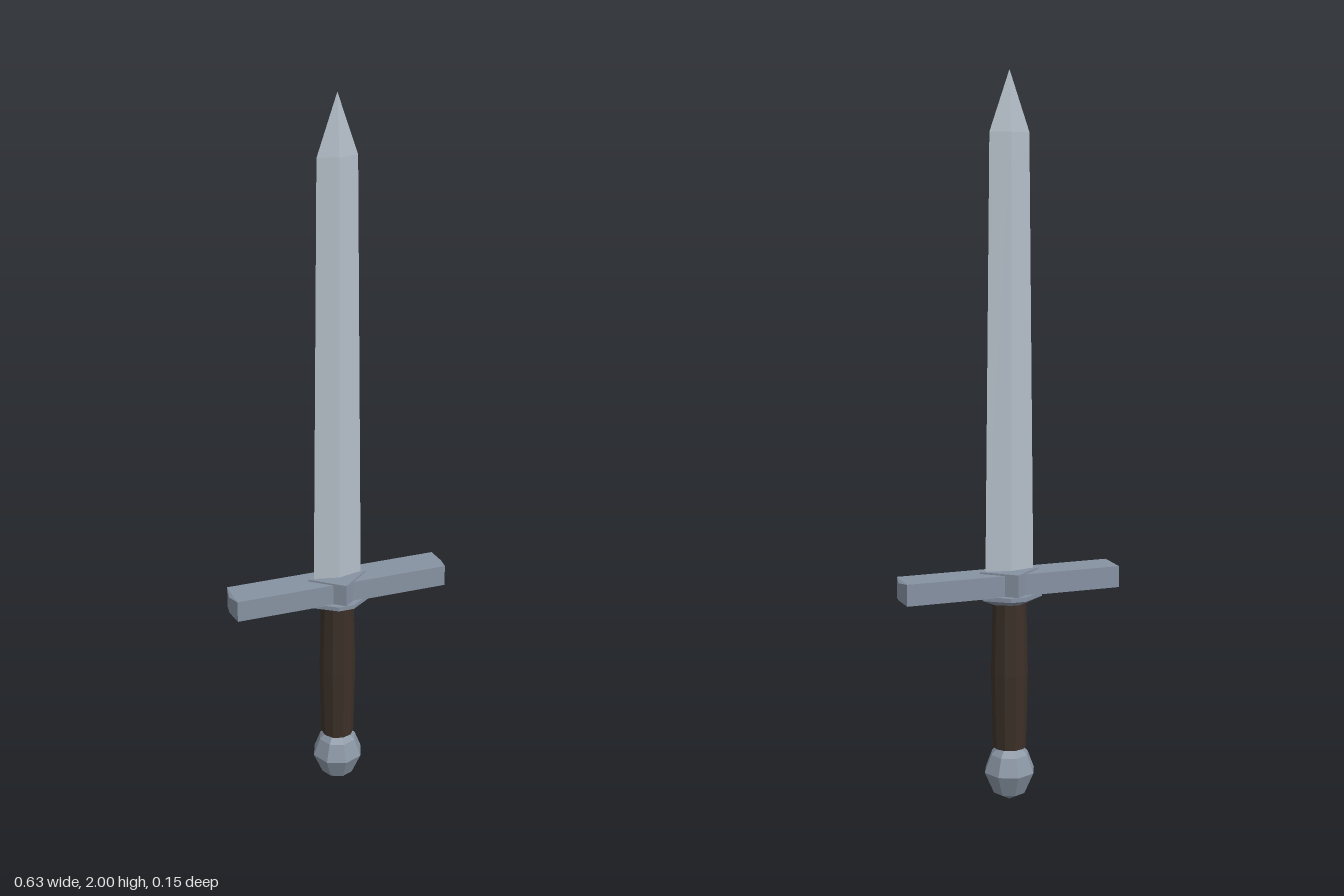
import * as THREE from 'three';

const material = (color) => new THREE.MeshStandardMaterial({ color, flatShading: true });

// Skin a stack of rings (same point count, counter-clockwise seen along -axis) and cap both ends.
function loft(rings) {
  const pos = [];
  const tri = (a, b, c) => pos.push(...a, ...b, ...c);
  const n = rings[0].length;
  for (let i = 0; i < rings.length - 1; i++) {
    for (let j = 0; j < n; j++) {
      const k = (j + 1) % n;
      const [a, b, c, d] = [rings[i][j], rings[i][k], rings[i + 1][k], rings[i + 1][j]];
      tri(a, b, c);
      tri(a, c, d);
    }
  }
  const first = rings[0], last = rings[rings.length - 1];
  for (let j = 1; j < n - 1; j++) {
    tri(first[0], first[j + 1], first[j]);
    tri(last[0], last[j], last[j + 1]);
  }
  const geometry = new THREE.BufferGeometry();
  geometry.setAttribute('position', new THREE.Float32BufferAttribute(pos, 3));
  geometry.computeVertexNormals();
  return geometry;
}

// Horizontal cross-sections at height y
const diamond = (y, w, d) => [[w, y, 0], [0, y, -d], [-w, y, 0], [0, y, d]];
const octagon = (y, s) => [
  [0.085, 0.027], [0.085, -0.027], [0.022, -0.072], [-0.022, -0.072],
  [-0.085, -0.027], [-0.085, 0.027], [-0.022, 0.072], [0.022, 0.072],
].map(([x, z]) => [x * s, y, z * s]);

// Vertical cross-section of the crossguard at position x
const barSection = (x, h, d) => [
  [x, 0.625 - h, d], [x, 0.625 - h, -d], [x, 0.625 + h, -d], [x, 0.625 + h, d],
];

export function createModel() {
  const sword = new THREE.Group();
  sword.name = 'sword';
  const steel = material(0xb4bec8);
  const guardMetal = material(0x8792a2);
  const pommelMetal = material(0x8a96a4);
  const leather = material(0x3c3028);

  const add = (name, geometry, mat) => {
    const mesh = new THREE.Mesh(geometry, mat);
    mesh.name = name;
    sword.add(mesh);
    return mesh;
  };

  // Blade: tapering diamond section drawn to a point
  add('blade', loft([
    diamond(0.64, 0.07, 0.017),
    diamond(1.84, 0.056, 0.014),
    diamond(2.0, 0.0005, 0.0005),
  ]), steel);

  // Crossguard bar with shallow wedge ends
  add('crossguard', loft([
    barSection(-0.316, 0.024, 0.001),
    barSection(-0.307, 0.03, 0.047),
    barSection(0.307, 0.03, 0.047),
    barSection(0.316, 0.024, 0.001),
  ]), guardMetal);

  // Diamond block in the middle of the guard
  add('guardBlock', loft([
    diamond(0.585, 0.085, 0.072),
    diamond(0.66, 0.085, 0.072),
  ]), guardMetal);

  // Chamfered collar below the guard
  add('guardCollar', loft([
    octagon(0.567, 0.55),
    octagon(0.585, 1),
    octagon(0.597, 1),
  ]), guardMetal);

  // Grip with a slight swell in the middle
  const gripProfile = [[0, 0.155], [0.046, 0.155], [0.051, 0.37], [0.046, 0.58], [0, 0.58]];
  add('grip', new THREE.LatheGeometry(
    gripProfile.map(([r, y]) => new THREE.Vector2(r, y)), 10), leather);

  // Faceted pommel
  const pommelProfile = [[0, 0], [0.046, 0.024], [0.073, 0.085], [0.054, 0.135], [0.036, 0.153], [0, 0.157]];
  add('pommel', new THREE.LatheGeometry(
    pommelProfile.map(([r, y]) => new THREE.Vector2(r, y)), 8), pommelMetal);

  return sword;
}
